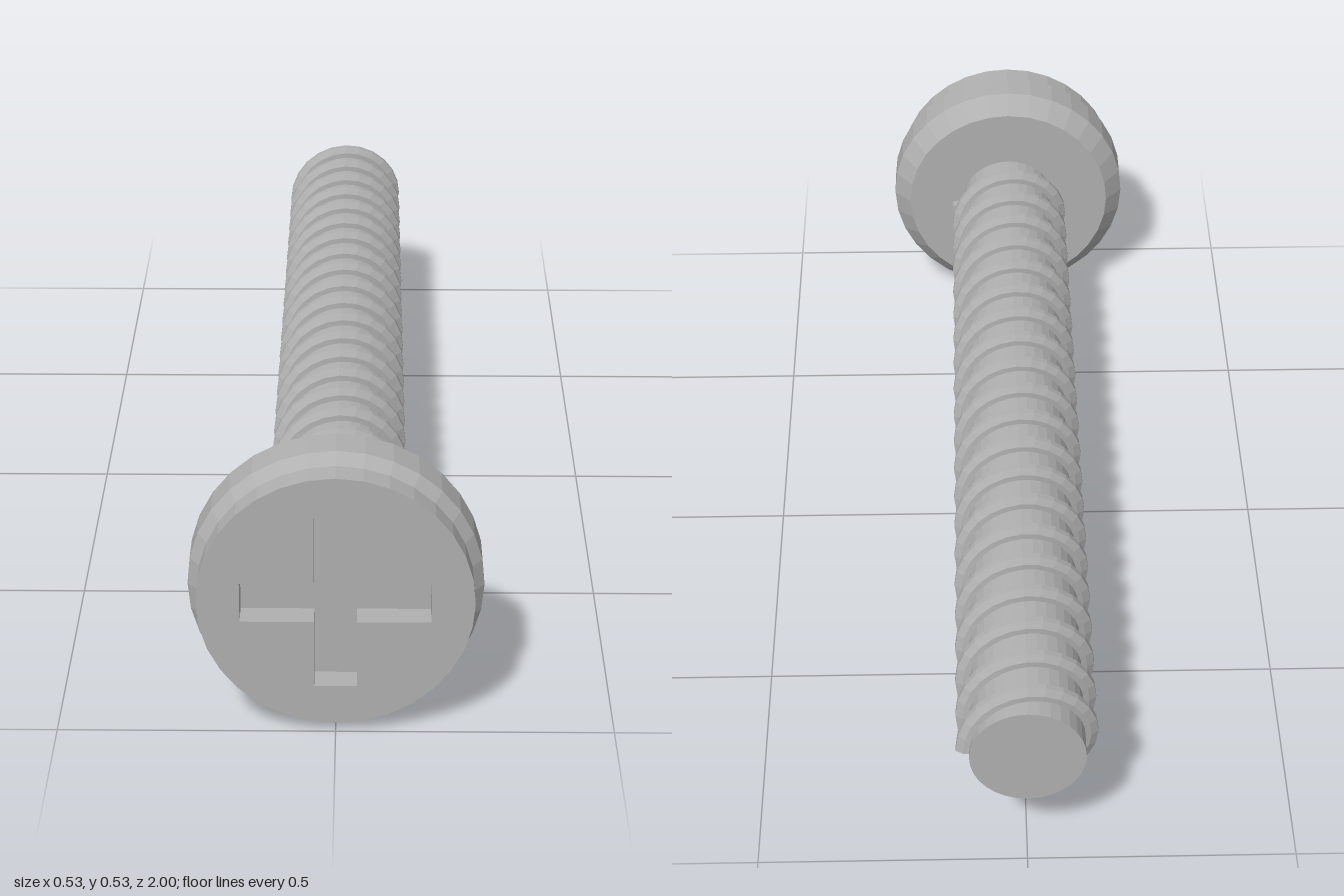
import * as THREE from 'three';

const AXIS_Y = 0.264;
const SIDES = 32;

// Solid of revolution about z from [radius, z] pairs ordered back to front
function turned(points) {
  const profile = points.map(([r, z]) => new THREE.Vector2(r, z));
  return new THREE.LatheGeometry(profile, SIDES).rotateX(Math.PI / 2);
}

// Plus-shaped outline for the driver recess
function crossPath(reach, half) {
  const corners = [];
  for (let i = 0; i < 4; i++) {
    const c = Math.round(Math.cos(i * Math.PI / 2)), s = Math.round(Math.sin(i * Math.PI / 2));
    for (const [x, y] of [[reach, -half], [reach, half], [half, half]]) {
      corners.push(new THREE.Vector2(x * c - y * s, x * s + y * c));
    }
  }
  return new THREE.Path(corners);
}

// Helical ridge: a small cross-section swept around the shank
function threadGeometry({ turns, perTurn, zStart, zEnd }) {
  const section = [[0.1, 0.015], [0.117, 0.014], [0.13, 0.006], [0.13, -0.006], [0.117, -0.014], [0.1, -0.015]];
  const n = section.length, steps = turns * perTurn;
  const pos = [], idx = [];
  for (let i = 0; i <= steps; i++) {
    const a = -2 * Math.PI * i / perTurn;
    const z = zStart + (zEnd - zStart) * i / steps;
    for (const [r, dz] of section) pos.push(r * Math.cos(a), r * Math.sin(a), z + dz);
  }
  for (let i = 0; i < steps; i++) {
    for (let j = 0; j < n; j++) {
      const a = i * n + j, b = i * n + (j + 1) % n;
      idx.push(a, a + n, b, b, a + n, b + n);
    }
  }
  // End caps
  const last = steps * n;
  for (let j = 1; j < n - 1; j++) {
    idx.push(0, j, j + 1, last, last + j + 1, last + j);
  }
  const g = new THREE.BufferGeometry();
  g.setAttribute('position', new THREE.Float32BufferAttribute(pos, 3));
  g.setIndex(idx);
  g.computeVertexNormals();
  return g;
}

export function createModel() {
  const steel = new THREE.MeshStandardMaterial({ color: 0xb0b0b0, flatShading: true });
  steel.name = 'steel grey';
  const model = new THREE.Group();
  model.name = 'screw';
  const add = (name, geometry) => {
    const mesh = new THREE.Mesh(geometry, steel);
    mesh.name = name;
    mesh.position.y = AXIS_Y;
    model.add(mesh);
  };

  // Flared head; its front cap is the floor of the recess
  add('headBody', turned([[0, 0.822], [0.228, 0.822], [0.264, 0.862], [0.264, 0.93], [0.246, 0.952], [0, 0.952]]));

  // Front disc with the cross recess cut through it
  const disc = new THREE.Shape();
  for (let i = 0; i < SIDES; i++) {
    const a = 2 * Math.PI * i / SIDES;
    disc[i ? 'lineTo' : 'moveTo'](0.246 * Math.cos(a), 0.246 * Math.sin(a));
  }
  disc.closePath();
  disc.holes.push(crossPath(0.169, 0.038));
  add('headFace', new THREE.ExtrudeGeometry(disc, { depth: 0.048, bevelEnabled: false }).translate(0, 0, 0.952));

  // Straight shank with a flat end
  add('shank', turned([[0, -1], [0.106, -1], [0.106, 0.83]]));

  // Right-hand thread
  add('thread', threadGeometry({ turns: 20, perTurn: 24, zStart: 0.81, zEnd: -0.975 }));
  return model;
}
